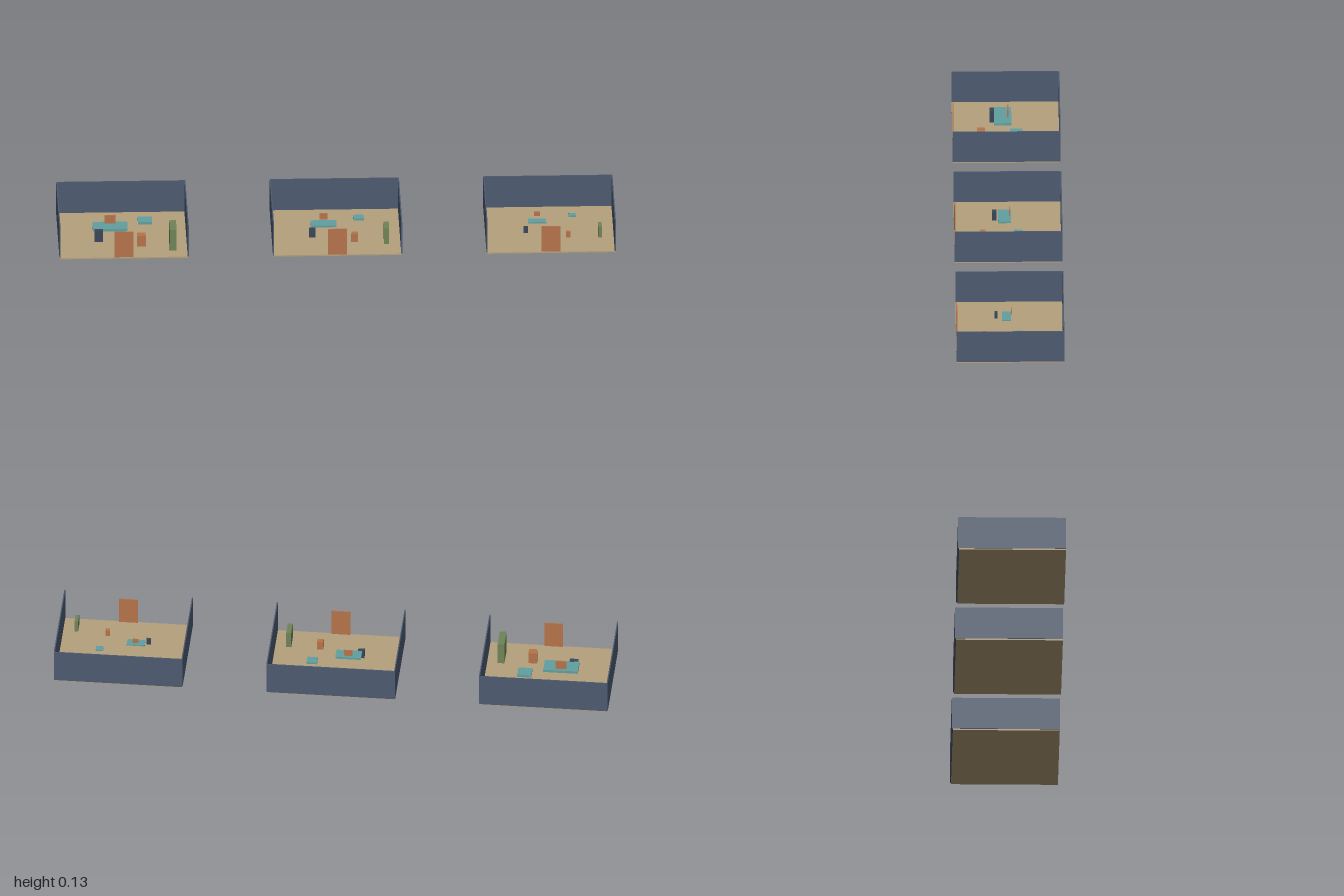
import * as THREE from 'three';

const mat = (color) => new THREE.MeshStandardMaterial({ color });
const wallMat = mat(0x4d5a70);
const floorMat = mat(0xb5a17c);
const woodMat = mat(0xb5734a);
const tealMat = mat(0x62a0a0);
const greenMat = mat(0x6f8458);
const navyMat = mat(0x38465a);

function box(parent, name, material, [w, h, d], [x, y, z], scale = 1) {
  const mesh = new THREE.Mesh(new THREE.BoxGeometry(w * scale, h * scale, d * scale), material);
  mesh.name = name;
  mesh.position.set(x, y, z);
  parent.add(mesh);
}

// Furniture: name, material, full size, centre within the room
const furniture = [
  ['deskTop', tealMat, [0.125, 0.01, 0.062], [-0.045, 0.043, 0.012]],
  ['sideTable', tealMat, [0.051, 0.01, 0.046], [0.082, 0.043, -0.036]],
  ['screen', woodMat, [0.04, 0.032, 0.005], [-0.045, 0.064, -0.006]],
  ['stool', navyMat, [0.031, 0.043, 0.021], [-0.087, 0.0265, 0.049]],
  ['crate', woodMat, [0.031, 0.043, 0.028], [0.065, 0.0265, 0.091]],
  ['cabinet', greenMat, [0.025, 0.082, 0.082], [0.178, 0.048, 0.105]],
];

function room(scale) {
  const g = new THREE.Group();
  // Shell, open at the front and top
  box(g, 'floor', floorMat, [0.461, 0.005, 0.384], [0, 0.0025, 0.002]);
  box(g, 'backWall', wallMat, [0.461, 0.122, 0.004], [0, 0.066, -0.192]);
  for (const s of [-1, 1]) {
    box(g, s > 0 ? 'leftWall' : 'rightWall', wallMat, [0.004, 0.122, 0.384], [s * 0.2305, 0.066, 0.002]);
  }
  box(g, 'door', woodMat, [0.068, 0.1, 0.004], [0, 0.055, 0.191]);
  // Each piece shrinks about its own centre
  for (const [name, m, size, pos] of furniture) box(g, name, m, size, pos, scale);
  return g;
}

export function createModel() {
  const model = new THREE.Group();
  model.name = 'threeRooms';
  [1, 0.74, 0.52].forEach((scale, i) => {
    const r = room(scale);
    r.name = ['largeFurnitureRoom', 'mediumFurnitureRoom', 'smallFurnitureRoom'][i];
    r.position.x = (i - 1) * 0.7675;
    model.add(r);
  });
  return model;
}
